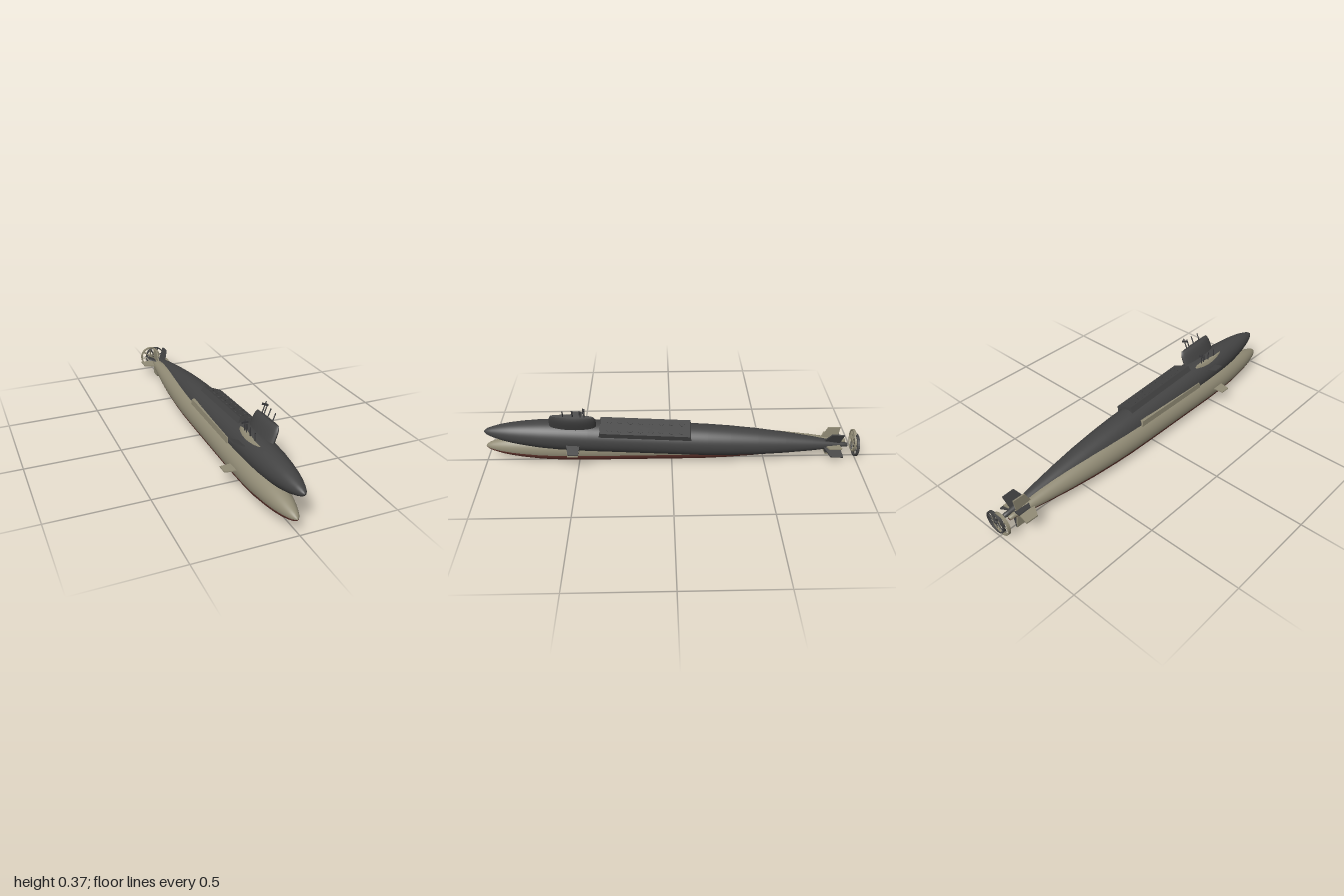
import * as THREE from 'three';

const mat = (name, color) => {
  const m = new THREE.MeshStandardMaterial({ color });
  m.name = name;
  return m;
};

// Hull radius along z, tail to nose
const PROFILE = [
  [0, -0.946], [0.011, -0.945], [0.013, -0.92], [0.024, -0.85], [0.039, -0.75], [0.057, -0.6],
  [0.071, -0.45], [0.08, -0.3], [0.084, -0.18], [0.085, -0.05], [0.085, 0.45], [0.082, 0.6],
  [0.076, 0.7], [0.064, 0.8], [0.054, 0.86], [0.043, 0.91], [0.029, 0.955], [0.019, 0.98], [0.009, 0.994], [0, 1],
].map(([r, z]) => new THREE.Vector2(r, z));

function add(parent, name, geometry, material, x = 0, y = 0, z = 0) {
  const m = new THREE.Mesh(geometry, material);
  m.name = name;
  m.position.set(x, y, z);
  parent.add(m);
  return m;
}

// Lathe turned so its axis lies along z; angle 0 is the keel
function hullSector(from, to) {
  const d = Math.PI / 180;
  const segments = Math.max(8, Math.round((to - from) / 7.5));
  return new THREE.LatheGeometry(PROFILE, segments, from * d, (to - from) * d).rotateX(Math.PI / 2);
}

// Move every vertex of a geometry by a rule
function reshape(geometry, rule) {
  const p = geometry.attributes.position;
  const v = new THREE.Vector3();
  for (let i = 0; i < p.count; i++) {
    rule(v.fromBufferAttribute(p, i));
    p.setXYZ(i, v.x, v.y, v.z);
  }
  geometry.computeVertexNormals();
  return geometry;
}

// Flat tapered plate reaching out along +x, with z as its chord
function plate(rootX, tipX, rootZ, tipZ, thick) {
  const s = new THREE.Shape([
    new THREE.Vector2(rootX, -rootZ[0]), new THREE.Vector2(tipX, -tipZ[0]),
    new THREE.Vector2(tipX, -tipZ[1]), new THREE.Vector2(rootX, -rootZ[1]),
  ]);
  return new THREE.ExtrudeGeometry(s, { depth: thick, bevelEnabled: false })
    .translate(0, 0, -thick / 2).rotateX(-Math.PI / 2);
}

function makeSail() {
  const g = new THREE.CylinderGeometry(1, 1, 1, 40, 12);
  return reshape(g, v => {
    const t = v.y + 0.5;
    const width = 0.027 * Math.sqrt(1 - 0.82 * t ** 5);
    const length = 0.122 - 0.012 * t ** 6;
    v.set(v.x * width, 0.06 + 0.102 * t, v.z * length);
  });
}

function makePropeller(material) {
  const prop = new THREE.Group();
  prop.name = 'propeller';
  const rim = [[0.054, -0.007], [0.061, -0.007], [0.061, 0.007], [0.054, 0.007], [0.054, -0.007]]
    .map(([r, z]) => new THREE.Vector2(r, z));
  const ring = new THREE.LatheGeometry(rim, 36).rotateX(Math.PI / 2).toNonIndexed();
  ring.computeVertexNormals();
  add(prop, 'propellerRing', ring, material);
  add(prop, 'propellerHub', new THREE.CylinderGeometry(0.012, 0.009, 0.014, 20).rotateX(Math.PI / 2), material);
  for (let i = 0; i < 7; i++) {
    const blade = new THREE.BoxGeometry(0.011, 0.05, 0.003).rotateY(0.6).translate(0, 0.032, 0);
    add(prop, 'propellerBlade', blade, material).rotation.z = i * Math.PI * 2 / 7;
  }
  return prop;
}

function makeSubmarine(name, upper, lower, trim) {
  const sub = new THREE.Group();
  sub.name = name;

  // Hull, split into bottom and upper paint
  add(sub, 'hullBottom', hullSector(-73, 73), lower);
  add(sub, 'hullUpper', hullSector(73, 287), upper);

  // Sail with its row of masts
  add(sub, 'sail', makeSail(), upper, 0, 0, 0.53);
  for (const [z, top] of [[0.577, 0.203], [0.527, 0.208], [0.487, 0.207], [0.467, 0.222]]) {
    add(sub, 'mast', new THREE.CylinderGeometry(0.003, 0.003, top - 0.15, 10), trim, 0, (top + 0.15) / 2, z);
  }
  add(sub, 'mastCrossbar', new THREE.BoxGeometry(0.034, 0.01, 0.006), trim, 0, 0.206, 0.467);

  // Raised deck with two rows of hatches
  const deck = reshape(new THREE.BoxGeometry(0.116, 0.045, 0.49), v => {
    if (v.y > 0) { v.x *= 0.94; v.z *= 0.965; }
  });
  add(sub, 'missileDeck', deck, upper, 0, 0.0715, 0.15);
  for (const side of [-1, 1]) {
    for (let i = 0; i < 8; i++) {
      add(sub, 'hatch', new THREE.CylinderGeometry(0.014, 0.014, 0.003, 16), upper, side * 0.027, 0.0945, -0.04 + i * 0.054);
    }
  }

  // Forward diving planes
  for (const turn of [0, Math.PI]) {
    const zs = turn ? [[-0.04, 0.035], [-0.025, 0.03]] : [[-0.035, 0.04], [-0.03, 0.025]];
    add(sub, 'forwardPlane', plate(0.06, 0.14, zs[0], zs[1], 0.005), upper, 0, 0.011, 0.525).rotation.y = turn;
  }

  // Tail fins in a cross
  for (let i = 0; i < 4; i++) {
    add(sub, 'tailFin', plate(0.008, 0.085, [-0.9, -0.805], [-0.912, -0.845], 0.007), upper)
      .rotation.z = i * Math.PI / 2;
  }

  const prop = makePropeller(upper);
  prop.position.z = -0.991;
  sub.add(prop);
  return sub;
}

export function createModel() {
  const beige = mat('beige paint', 0x928c76);
  const red = mat('red bottom paint', 0x6b3a32);
  const dark = mat('dark hull paint', 0x434343);
  const trim = mat('dark metal', 0x3a3a3c);

  const model = new THREE.Group();
  model.name = 'submarines';

  // Upright boat
  const lowerBoat = makeSubmarine('uprightSubmarine', beige, red, trim);
  lowerBoat.position.set(-0.015, 0.088, 0);
  model.add(lowerBoat);

  // Second boat, nose raised and rolled to its left
  const upperBoat = makeSubmarine('tiltedSubmarine', dark, dark, trim);
  upperBoat.position.set(0.018, 0.14, -0.007);
  upperBoat.rotation.set(-0.0595, 0, -0.4);
  model.add(upperBoat);

  return model;
}
